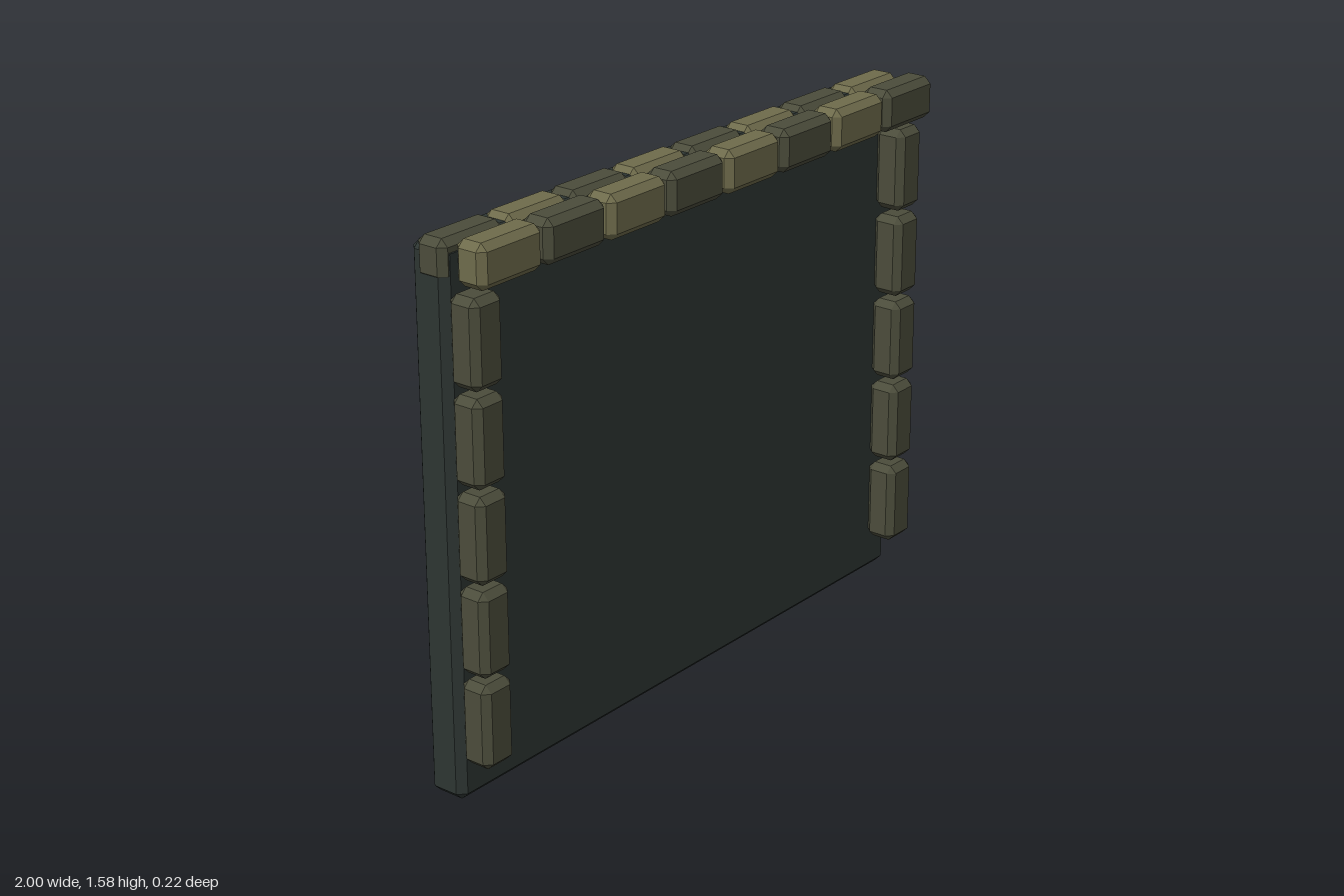
import * as THREE from 'three';
import { ConvexGeometry } from 'three/addons/geometries/ConvexGeometry.js';

const paint = (color) => new THREE.MeshStandardMaterial({ color, flatShading: true });

// Box with every edge and corner cut by a flat chamfer
function chamferBox(w, h, d, c) {
  const points = [];
  for (const sx of [-1, 1]) for (const sy of [-1, 1]) for (const sz of [-1, 1]) {
    const x = w / 2, y = h / 2, z = d / 2;
    points.push(
      new THREE.Vector3(sx * x, sy * (y - c), sz * (z - c)),
      new THREE.Vector3(sx * (x - c), sy * y, sz * (z - c)),
      new THREE.Vector3(sx * (x - c), sy * (y - c), sz * z)
    );
  }
  return new ConvexGeometry(points);
}

export function createModel() {
  const model = new THREE.Group();
  const slabPaint = paint(0x2d3532);
  const lightStone = paint(0x6e6b4b);
  const darkStone = paint(0x4b4c3b);

  const add = (parent, name, geometry, material, x, y, z) => {
    const mesh = new THREE.Mesh(geometry, material);
    mesh.name = name;
    mesh.position.set(x, y, z);
    parent.add(mesh);
  };
  const group = (name) => {
    const g = new THREE.Group();
    g.name = name;
    model.add(g);
    return g;
  };

  // Wall slab
  add(model, 'wallSlab', chamferBox(1.95, 1.56, 0.122, 0.022), slabPaint, -0.022, 0.78, -0.048);

  // Two staggered rows of bricks along the top, alternating in colour
  const frontRow = group('frontTopBricks');
  const backRow = group('backTopBricks');
  const topBrick = chamferBox(0.235, 0.125, 0.098, 0.02);
  const backBrick = chamferBox(0.235, 0.115, 0.098, 0.02);
  for (let i = 0; i < 8; i++) {
    const x = 0.247 * i;
    add(frontRow, 'topBrick', topBrick, i % 2 ? darkStone : lightStone, -0.847 + x, 1.513, 0.061);
    add(backRow, 'topBrick', backBrick, i % 2 ? lightStone : darkStone, -0.882 + x, 1.518, -0.038);
  }

  // Upright bricks down both edges of the front
  const sideBrick = chamferBox(0.112, 0.248, 0.098, 0.02);
  for (const [name, x] of [['rightColumn', -0.94], ['leftColumn', 0.895]]) {
    const column = group(name);
    for (let i = 0; i < 5; i++) {
      add(column, 'sideBrick', sideBrick, darkStone, x, 0.248 + 0.267 * i, 0.061);
    }
  }
  return model;
}
